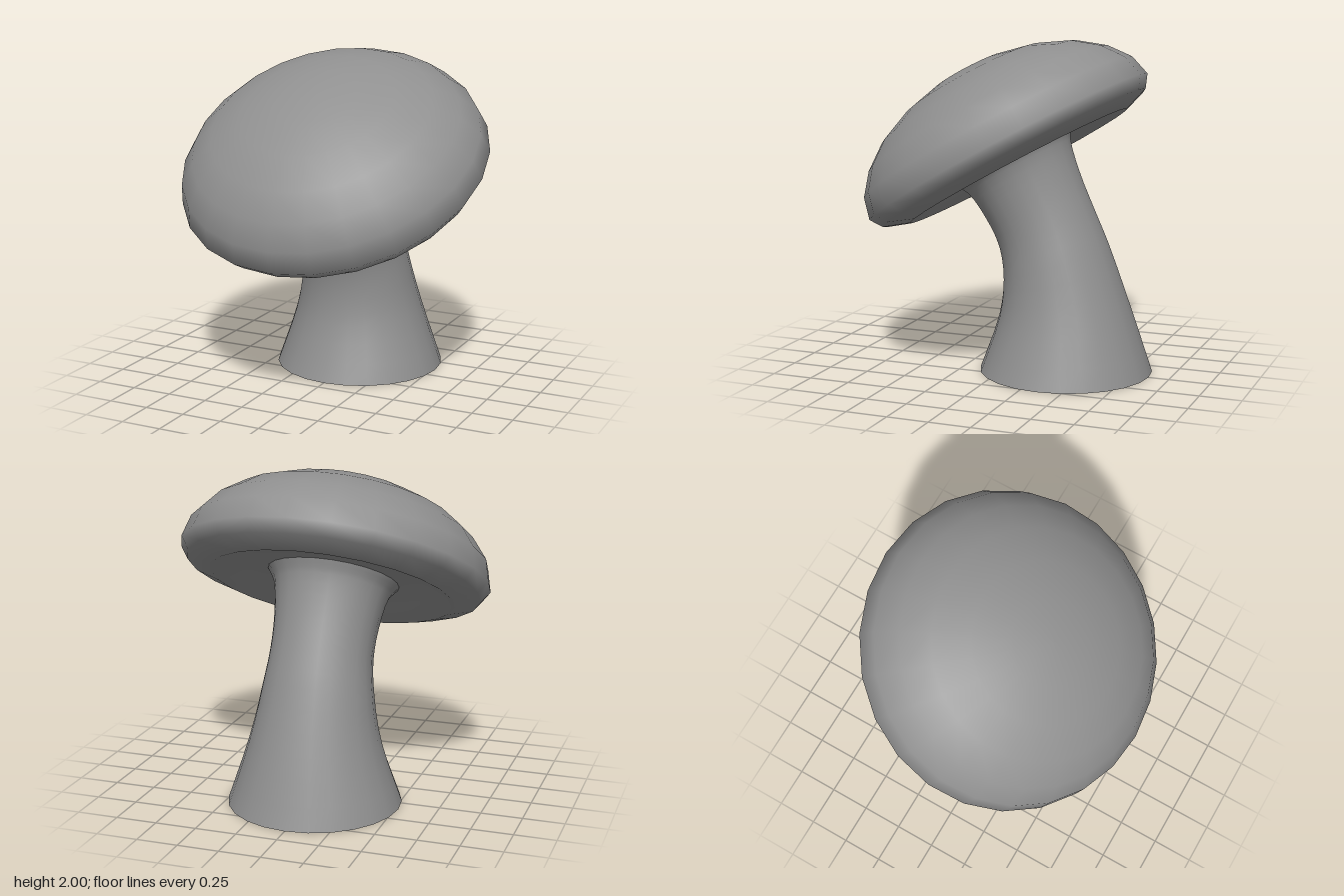
import * as THREE from 'three';

const SIDES = 24;
const STEM_RINGS = 18;
const material = new THREE.MeshStandardMaterial({ color: 0x909090, side: THREE.DoubleSide });

// Tilted dome with a rounded rim and a hollow underside
function createCap() {
  const profile = [
    [0.40, 0.07], [0.57, 0.06], [0.74, 0], [0.893, 0.052], [0.945, 0.126], [0.912, 0.26], [0.814, 0.388],
    [0.669, 0.50], [0.466, 0.592], [0.248, 0.648], [0.08, 0.664], [0, 0.665],
  ].map(([r, y]) => new THREE.Vector2(r, y));
  const cap = new THREE.Mesh(new THREE.LatheGeometry(profile, SIDES), material);
  cap.name = 'cap';
  cap.position.set(0, 1.23, -0.04);
  cap.rotation.x = Math.PI / 6;
  return cap;
}

// Smooth curve through [z, y] points in the middle plane
function sideCurve(points) {
  return new THREE.CatmullRomCurve3(points.map(([z, y]) => new THREE.Vector3(0, y, z)));
}

// Bent stem, open at the foot: round rings spanned between a front and a back curve
function createStem() {
  const front = sideCurve([
    [0.172, 0], [0.057, 0.33], [0.032, 0.55], [0.06, 0.74], [0.14, 0.90], [0.26, 1.055], [0.341, 1.091],
  ]);
  const back = sideCurve([
    [-0.875, 0], [-0.74, 0.40], [-0.60, 0.78], [-0.503, 1.00], [-0.412, 1.21], [-0.35, 1.405], [-0.351, 1.491],
  ]);
  const positions = [];
  const indices = [];
  for (let i = 0; i <= STEM_RINGS; i++) {
    const f = front.getPoint(i / STEM_RINGS);
    const b = back.getPoint(i / STEM_RINGS);
    const radius = f.distanceTo(b) / 2;
    for (let j = 0; j < SIDES; j++) {
      const angle = (j / SIDES) * Math.PI * 2;
      const p = f.clone().lerp(b, (1 - Math.cos(angle)) / 2);
      positions.push(radius * Math.sin(angle), p.y, p.z);
      if (i === 0) continue;
      const next = (j + 1) % SIDES;
      const low = (i - 1) * SIDES;
      const high = i * SIDES;
      indices.push(low + j, low + next, high + next, low + j, high + next, high + j);
    }
  }
  const geometry = new THREE.BufferGeometry();
  geometry.setAttribute('position', new THREE.Float32BufferAttribute(positions, 3));
  geometry.setIndex(indices);
  geometry.computeVertexNormals();
  const stem = new THREE.Mesh(geometry, material);
  stem.name = 'stem';
  return stem;
}

export function createModel() {
  const mushroom = new THREE.Group();
  mushroom.name = 'mushroom';
  mushroom.add(createStem(), createCap());
  return mushroom;
}
